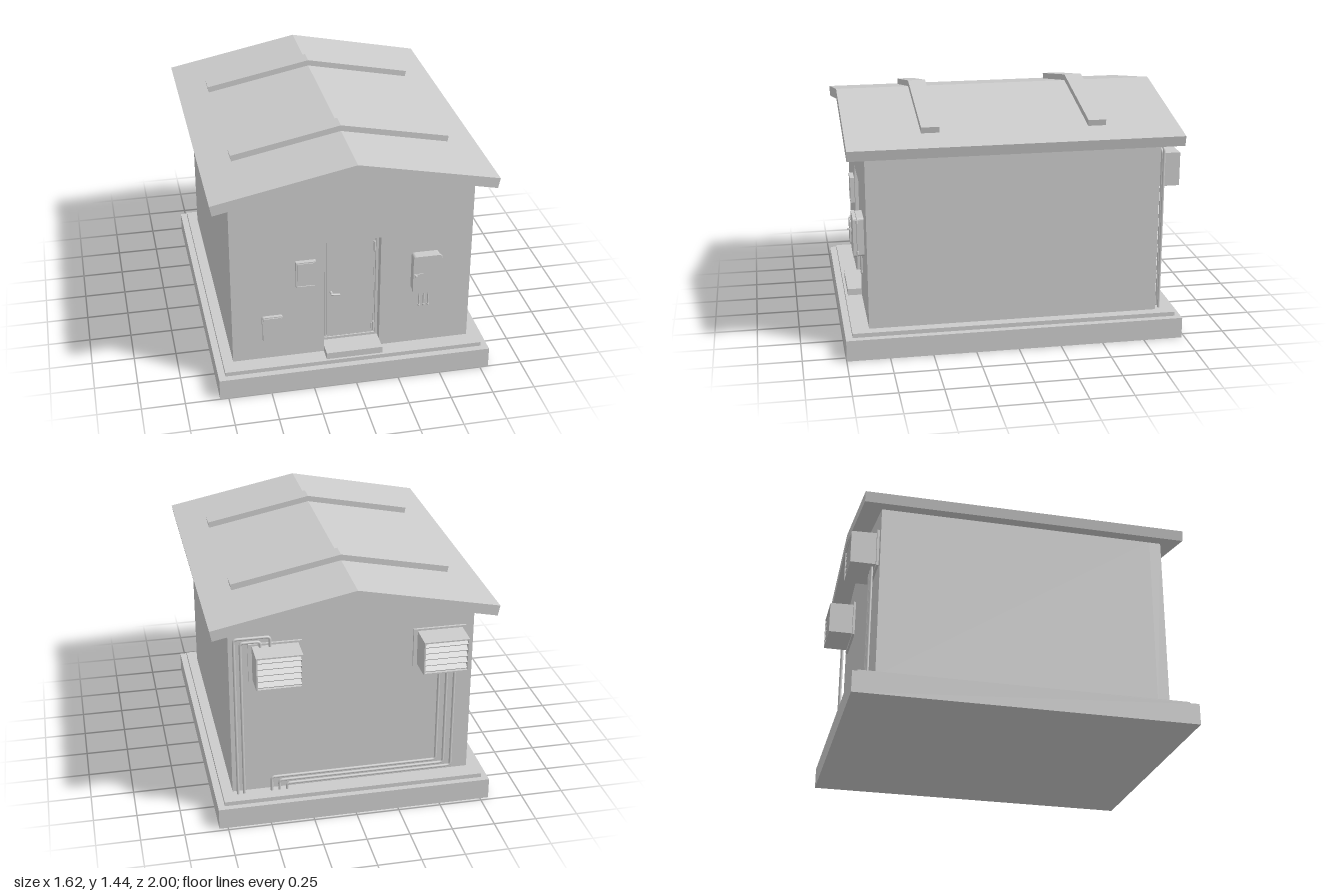
import * as THREE from 'three';

const mat = new THREE.MeshStandardMaterial({ color: 0xcccccc, side: THREE.DoubleSide });
const V = (x, y, z) => new THREE.Vector3(x, y, z);

function add(parent, name, geo) {
  const m = new THREE.Mesh(geo, mat);
  m.name = name;
  parent.add(m);
  return m;
}

// Box given by its extents
function box(parent, name, x0, x1, y0, y1, z0, z1) {
  const m = add(parent, name, new THREE.BoxGeometry(x1 - x0, y1 - y0, z1 - z0));
  m.position.set((x0 + x1) / 2, (y0 + y1) / 2, (z0 + z1) / 2);
  return m;
}

// Outline in x,y extruded from z0 to z1
function prism(parent, name, shape, z0, z1) {
  const geo = new THREE.ExtrudeGeometry(shape, { depth: z1 - z0, bevelEnabled: false, curveSegments: 4 });
  geo.translate(0, 0, z0);
  return add(parent, name, geo);
}

const poly = (pts) => new THREE.Shape(pts.map(([x, y]) => new THREE.Vector2(x, y)));
const rect = (x0, x1, y0, y1) => poly([[x0, y0], [x1, y0], [x1, y1], [x0, y1]]);

function roundRect(x0, x1, y0, y1, r) {
  const s = new THREE.Shape();
  s.absarc(x1 - r, y0 + r, r, -Math.PI / 2, 0);
  s.absarc(x1 - r, y1 - r, r, 0, Math.PI / 2);
  s.absarc(x0 + r, y1 - r, r, Math.PI / 2, Math.PI);
  s.absarc(x0 + r, y0 + r, r, Math.PI, Math.PI * 1.5);
  s.closePath();
  return s;
}

function frame(parent, name, x0, x1, y0, y1, w, z0, z1) {
  const s = rect(x0, x1, y0, y1);
  s.holes.push(rect(x0 + w, x1 - w, y0 + w, y1 - w));
  return prism(parent, name, s, z0, z1);
}

function rod(parent, name, x, y0, y1, z, r) {
  const m = add(parent, name, new THREE.CylinderGeometry(r, r, y1 - y0, 12));
  m.position.set(x, (y0 + y1) / 2, z);
  return m;
}

// Pipe along straight runs with rounded elbows
function pipe(parent, name, pts, r = 0.008, bend = 0.018) {
  const path = new THREE.CurvePath();
  let from = pts[0];
  for (let i = 1; i < pts.length - 1; i++) {
    const p = pts[i];
    const a = p.clone().add(pts[i - 1].clone().sub(p).setLength(bend));
    const b = p.clone().add(pts[i + 1].clone().sub(p).setLength(bend));
    path.add(new THREE.LineCurve3(from, a));
    path.add(new THREE.QuadraticBezierCurve3(a, p, b));
    from = b;
  }
  path.add(new THREE.LineCurve3(from, pts[pts.length - 1]));
  add(parent, name, new THREE.TubeGeometry(path, 160, r, 10));
}

// Louvred hood on the back wall
function ventHood(parent, x0, x1) {
  const g = new THREE.Group();
  g.name = 'ventHood';
  const y0 = 0.875, y1 = 1.08, zw = -0.84, zo = -1, t = 0.008;
  box(g, 'ventFlange', x0 - 0.022, x1 + 0.022, y0 - 0.015, y1 + 0.01, zw - 0.014, zw);
  box(g, 'hoodBottom', x0, x1, y0, y0 + t, zo, zw);
  const top = box(g, 'hoodTop', x0, x1, y1 - 0.003 - t, y1 - 0.003, zo, zw);
  top.rotation.x = -0.03;
  for (const x of [x0, x1 - t]) box(g, 'hoodSide', x, x + t, y0, y1 - 0.006, zo, zw);
  box(g, 'hoodBack', x0, x1, y0, y1 - 0.01, zo + 0.035, zo + 0.04);
  for (let i = 0; i < 5; i++) {
    const y = y0 + 0.027 + i * 0.037;
    const slat = box(g, 'louvre', x0 + t, x1 - t, y - 0.003, y + 0.003, zo + 0.002, zo + 0.036);
    slat.rotation.x = -0.6;
  }
  parent.add(g);
}

export function createModel() {
  const g = new THREE.Group();
  g.name = 'utilityBuilding';

  // Foundation and doorstep
  box(g, 'foundation', -0.8, 0.8, 0, 0.125, -0.98, 1);
  box(g, 'plinth', -0.76, 0.76, 0.125, 0.15, -0.945, 0.96);
  box(g, 'doorstep', -0.165, 0.165, 0.15, 0.19, 0.78, 0.945);

  // Gabled walls, the front one with a door opening
  const gable = () => poly([[-0.7, 0.15], [0.7, 0.15], [0.7, 1.205], [0, 1.348], [-0.7, 1.205]]);
  prism(g, 'mainWalls', gable(), -0.84, 0.79);
  const front = gable();
  front.holes.push(rect(-0.165, 0.165, 0.19, 0.88));
  prism(g, 'frontWall', front, 0.79, 0.86);

  // Roof and the two raised bands across it
  prism(g, 'roof', poly([[0, 1.405], [-0.81, 1.24], [-0.798, 1.18], [0, 1.345], [0.798, 1.18], [0.81, 1.24]]), -0.953, 0.963);
  for (const z of [-0.53, 0.43]) {
    prism(g, 'roofBand', poly([[0, 1.44], [-0.635, 1.312], [-0.628, 1.275], [0, 1.403], [0.628, 1.275], [0.635, 1.312]]), z, z + 0.103);
  }

  // Recessed door with frame, hinges and lever
  const door = new THREE.Group();
  door.name = 'door';
  frame(door, 'doorFrame', -0.165, 0.165, 0.19, 0.88, 0.015, 0.79, 0.806);
  frame(door, 'doorSeal', -0.146, 0.146, 0.208, 0.861, 0.006, 0.79, 0.802);
  box(door, 'doorLeaf', -0.136, 0.138, 0.217, 0.851, 0.79, 0.806);
  for (const y of [0.255, 0.8]) {
    rod(door, 'hingePin', 0.14, y - 0.03, y + 0.03, 0.81, 0.007);
    box(door, 'hingeLeaf', 0.127, 0.148, y - 0.02, y + 0.02, 0.804, 0.81);
  }
  const spindle = add(door, 'handleSpindle', new THREE.CylinderGeometry(0.008, 0.008, 0.03, 12));
  spindle.rotation.x = Math.PI / 2;
  spindle.position.set(-0.113, 0.516, 0.82);
  const lever = add(door, 'handleLever', new THREE.CapsuleGeometry(0.006, 0.045, 4, 10));
  lever.rotation.z = Math.PI / 2 - 0.1;
  lever.position.set(-0.092, 0.513, 0.833);
  g.add(door);

  // Upper wall panel
  box(g, 'upperPanel', -0.33, -0.215, 0.62, 0.783, 0.86, 0.88);
  frame(g, 'upperPanelRim', -0.33, -0.215, 0.62, 0.783, 0.006, 0.88, 0.886);
  box(g, 'upperPanelCover', -0.32, -0.225, 0.63, 0.773, 0.88, 0.885);

  // Lower wall panel with rounded corners
  prism(g, 'lowerPanel', roundRect(-0.528, -0.408, 0.27, 0.438, 0.012), 0.86, 0.88);
  prism(g, 'lowerPanelCover', roundRect(-0.522, -0.414, 0.276, 0.432, 0.01), 0.88, 0.886);

  // Electrical cabinet with hinges, latch and cables
  const cab = new THREE.Group();
  cab.name = 'electricalCabinet';
  prism(cab, 'cabinetBody', roundRect(0.345, 0.505, 0.52, 0.757, 0.016), 0.86, 0.9);
  prism(cab, 'cabinetDoor', roundRect(0.342, 0.508, 0.516, 0.761, 0.018), 0.903, 0.923);
  for (const y of [0.548, 0.735]) rod(cab, 'cabinetHinge', 0.509, y - 0.009, y + 0.009, 0.9, 0.007);
  box(cab, 'latchPlate', 0.345, 0.4, 0.638, 0.65, 0.923, 0.929);
  box(cab, 'latchKnob', 0.35, 0.362, 0.64, 0.648, 0.923, 0.947);
  for (const x of [0.395, 0.422, 0.449]) {
    rod(cab, 'cable', x, 0.41, 0.53, 0.875, 0.005);
    rod(cab, 'cableEnd', x, 0.402, 0.413, 0.875, 0.007);
  }
  g.add(cab);

  // Vents and pipework on the back wall
  ventHood(g, 0.31, 0.57);
  ventHood(g, -0.63, -0.37);
  const z = -0.87;
  for (const [x, y, end] of [[0.672, 1.137, 0.47], [0.636, 1.112, 0.525]]) {
    pipe(g, 'upperVentPipe', [V(x, 0.14, z), V(x, y, z), V(end, y, z), V(end, 1.06, z)]);
  }
  for (let i = 0; i < 3; i++) {
    const x = -0.59 + i * 0.046, y = 0.187 + i * 0.026, end = 0.385 + i * 0.045;
    pipe(g, 'lowerVentPipe', [V(x, 0.88, z), V(x, y, z), V(end, y, z), V(end, 0.14, z)]);
  }
  return g;
}
